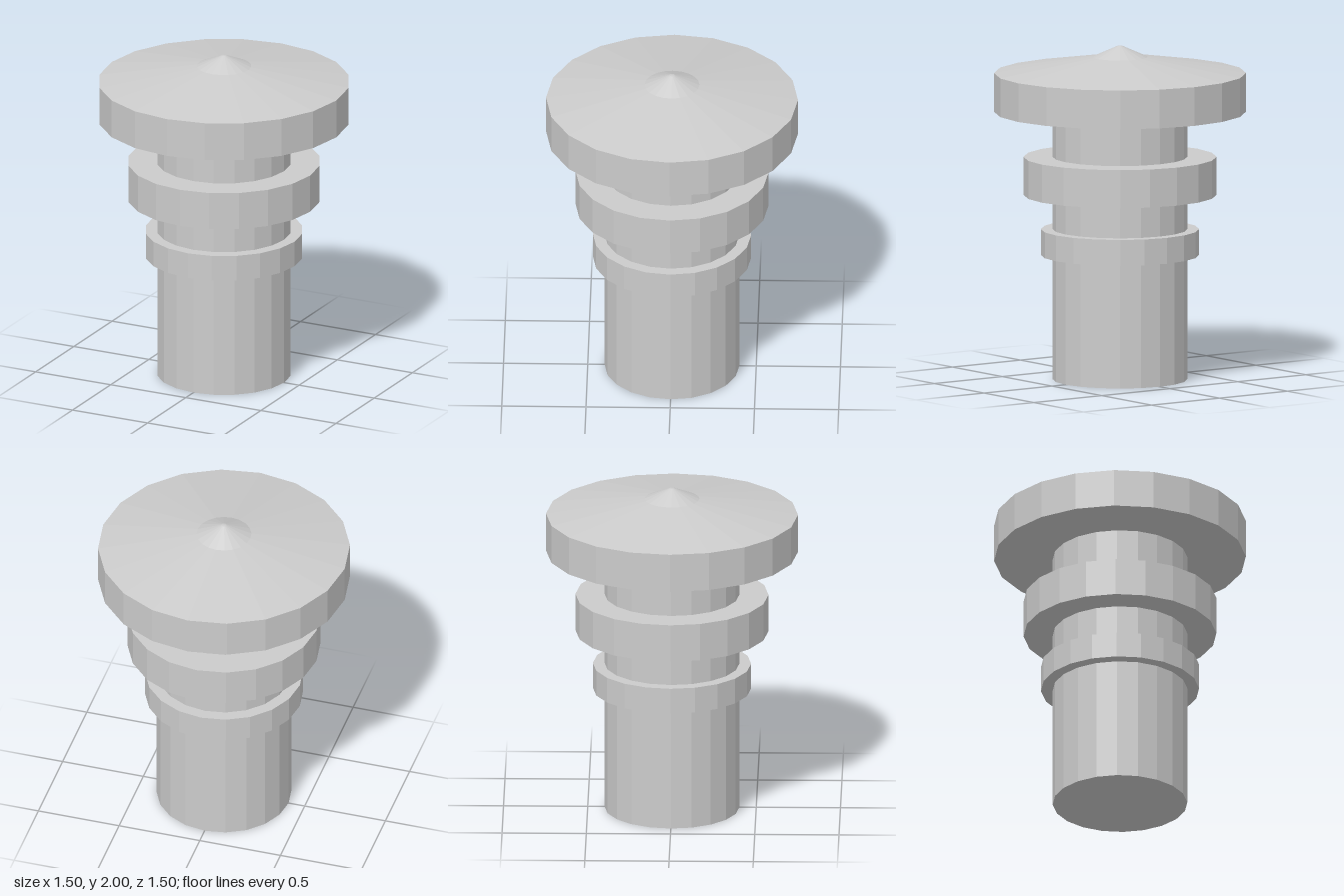
import * as THREE from 'three';

const SIDES = 20;

export function createModel() {
  const group = new THREE.Group();
  const material = new THREE.MeshStandardMaterial({ color: 0xcccccc, flatShading: true });

  const add = (name, geometry, y = 0) => {
    const mesh = new THREE.Mesh(geometry, material);
    mesh.name = name;
    mesh.position.y = y;
    group.add(mesh);
  };

  // Straight drum between two heights
  const drum = (name, radius, bottom, top) =>
    add(name, new THREE.CylinderGeometry(radius, radius, top - bottom, SIDES), (bottom + top) / 2);

  drum('shaft', 0.4, 0, 1.62);
  drum('lowerCollar', 0.47, 0.745, 0.9);
  drum('upperCollar', 0.573, 1.105, 1.333);

  // Wide cap: flat underside, upright rim, shallow roof and small pointed peak
  const profile = [[0, 1.603], [0.748, 1.603], [0.748, 1.835], [0.163, 1.932], [0.015, 1.998], [0, 2]]
    .map(([r, y]) => new THREE.Vector2(r, y));
  add('cap', new THREE.LatheGeometry(profile, SIDES));

  return group;
}
